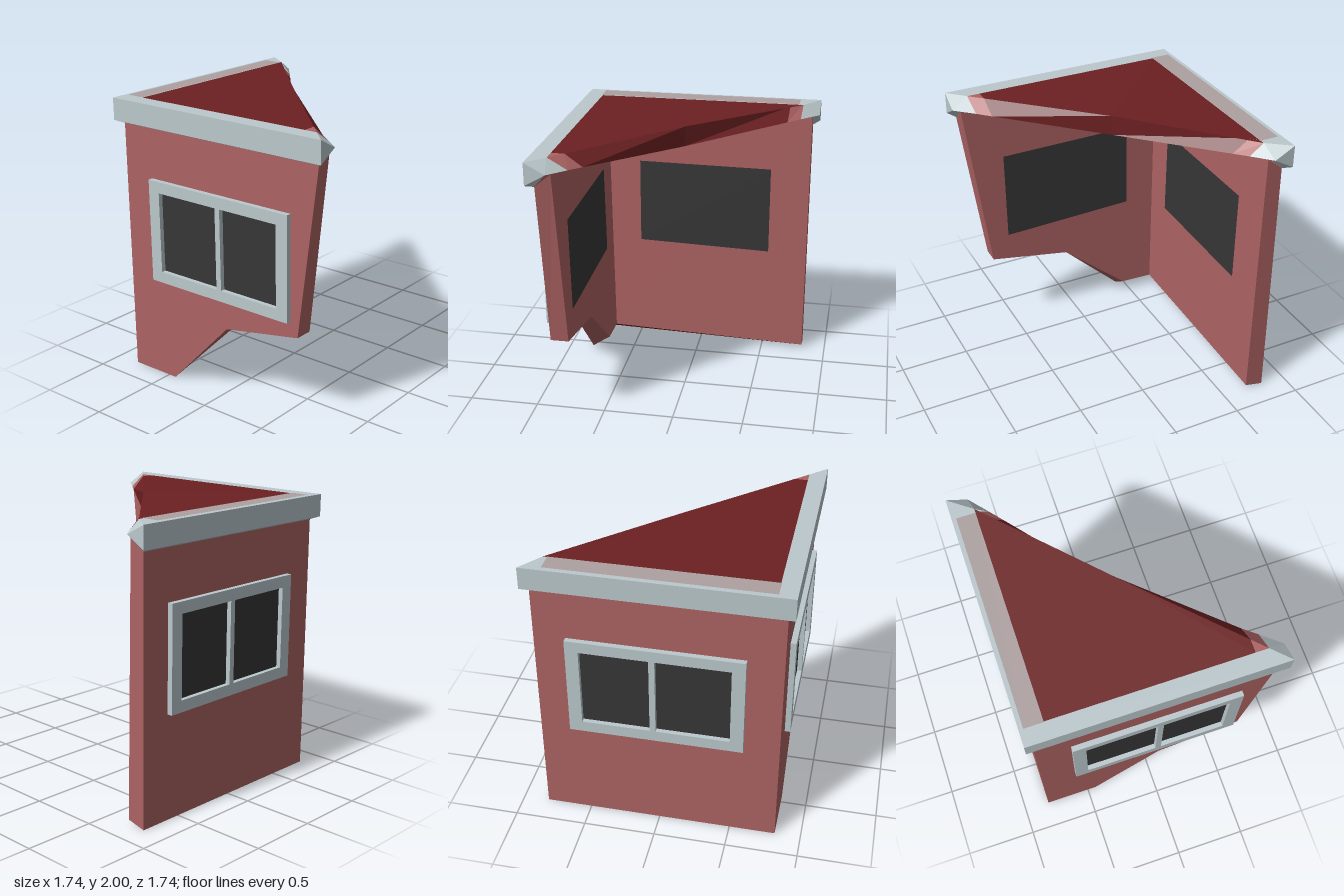
import * as THREE from 'three';

const material = (name, color) => {
  const m = new THREE.MeshStandardMaterial({ color, side: THREE.DoubleSide });
  m.name = name;
  return m;
};

// flat-shaded mesh made of small polygons, each corner list counter-clockwise from outside
function faces(name, mat, polygons) {
  const pos = [];
  for (const p of polygons) {
    for (let i = 1; i < p.length - 1; i++) pos.push(...p[0], ...p[i], ...p[i + 1]);
  }
  const g = new THREE.BufferGeometry();
  g.setAttribute('position', new THREE.Float32BufferAttribute(pos, 3));
  g.computeVertexNormals();
  const mesh = new THREE.Mesh(g, mat);
  mesh.name = name;
  return mesh;
}

// triangles of a possibly concave outline; corners are [x, y, z] spread over x and y
function cap(points) {
  const flat = points.map(([x, y]) => new THREE.Vector2(x, y));
  return THREE.ShapeUtils.triangulateShape(flat, []).map((t) => t.map((i) => points[i]));
}

// reflection across the broken diagonal: front wall <-> side wall
const swap = ([x, y, z]) => [-z, y, -x];
const swapAll = (polys) => polys.map((p) => p.map(swap).reverse());
const flip = (polys) => polys.map((p) => [...p].reverse());

// distance of the slightly leaning inner wall faces from the centre
const inner = (y) => 0.685 + 0.013 * y;

export function createModel() {
  const model = new THREE.Group();
  model.name = 'brokenBuildingCorner';
  const wall = material('wall red', 0xac6262);
  const roof = material('dark red', 0x6c2022);
  const trim = material('pale grey', 0xbbc8cc);
  const faded = material('dusty grey', 0xada0a0);
  const glass = material('dark glass', 0x363636);

  // front wall, broken along its lower right
  const outline = [[-0.82, 0], [-0.44, 0], [0.06, 0.52], [0.66, 0.63], [0.82, 1.81], [-0.82, 1.81]];
  const inside = [[-0.69, 0.08], [-0.44, 0.09], [0.06, 0.52], [0.66, 0.63], [0.82, 1.9], [-0.71, 1.9]];
  const out = outline.map(([x, y]) => [x, y, 0.82]);
  const inn = inside.map(([x, y]) => [x, y, inner(y)]);
  inn[0][0] = -inner(0.08);
  inn[5][0] = -inner(1.9);
  const edges = [1, 2, 3].map((i) => [out[i], inn[i], inn[i + 1], out[i + 1]]);
  model.add(faces('frontWall', wall, [...cap(out), ...flip(cap(inn)), ...edges]));

  // side wall
  const backLow = [-inner(0.03), 0.03, -0.82];
  const backHigh = [-inner(1.9), 1.9, -0.82];
  const outLow = [-0.82, 0, -0.82];
  const outHigh = [-0.82, 1.81, -0.82];
  model.add(faces('sideWall', wall, [
    [outLow, out[0], out[5], outHigh],
    [inn[0], backLow, backHigh, inn[5]],
    [backLow, outLow, outHigh, backHigh],
  ]));

  // broken underside of the walls
  model.add(faces('wallUnderside', roof, [
    [out[0], inn[0], inn[1], out[1]],
    [out[0], outLow, backLow, inn[0]],
  ]));

  // roof trim: section as [distance from centre, height, where the broken end lies]
  const trimSection = (topInner) => [
    [0.87, 1.985, 0.87], [0.87, 1.83, 0.87], [0.82, 1.81, 0.82],
    [0.73, 1.91, 0.87], [0.62, 1.905, 0.74], [topInner, 1.986, 0.75],
  ];
  const trimFaces = (topInner, cornerInner) => {
    const s = trimSection(topInner);
    const end = s.map(([d, y, e]) => [e, y, d]);
    const start = s.map(([d, y], i) => [i === 5 ? -cornerInner : -d, y, d]);
    const sides = [0, 1, 2, 3, 5].map((i) => {
      const j = (i + 1) % 6;
      return [start[i], start[j], end[j], end[i]];
    });
    const m = end[3];
    return [...sides, [m, end[4], end[5]], [m, end[5], end[0]], [m, end[0], end[1]], [m, end[1], end[2]]];
  };
  model.add(faces('frontTrim', trim, trimFaces(0.75, 0.71)));
  model.add(faces('sideTrim', trim, swapAll(trimFaces(0.71, 0.75))));

  // faded strip lying on top of the side trim
  model.add(faces('fadedTrimStrip', faded, [
    [[-0.84, 1.989, 0.755], [-0.71, 1.989, 0.755], [-0.71, 1.989, -0.72], [-0.84, 1.989, -0.72]],
  ]));

  // roof top, broken edges and sagging underside
  const peak = [0, 2, 0];
  const sag = [0, 1.86, 0];
  const mix = (a, b, t) => a.map((v, i) => v + (b[i] - v) * t);
  const corner = [-0.71, 1.986, 0.75];
  const tip = [0.75, 1.986, 0.75];
  const tipLow = [0.74, 1.905, 0.62];
  const backTip = [-0.71, 1.986, -0.75];
  const T = 0.88;
  const cut = mix(peak, tip, T);
  const cutLow = mix(sag, tipLow, T);
  const cutFront = [cut[0], 1.986, 0.75];
  const edge = [[sag, peak, cut, cutLow]];
  const tipEdge = [[cutLow, cut, tip, tipLow]];
  const hollow = [[sag, tipLow, [-0.62, 1.905, 0.62]]];
  model.add(faces('roofTop', roof, [[peak, corner, cutFront, cut], [peak, backTip, corner]]));
  model.add(faces('roofBrokenEdge', roof, [...flip(edge), ...swapAll(flip(edge))]));
  model.add(faces('roofUnderside', roof, [...hollow, ...swapAll(hollow)]));
  model.add(faces('roofTips', wall, [
    [cut, cutFront, tip], ...flip(tipEdge), ...swapAll(flip(tipEdge)),
  ]));

  // outer windows: raised frame around two panes
  function addWindow(name) {
    const g = new THREE.Group();
    g.name = name;
    const box = (part, mat, x0, x1, y0, y1, depth) => {
      const m = new THREE.Mesh(new THREE.BoxGeometry(x1 - x0, y1 - y0, depth), mat);
      m.position.set((x0 + x1) / 2, (y0 + y1) / 2, 0.82 + depth / 2);
      m.name = part;
      g.add(m);
    };
    box('frameLeft', trim, -0.58, -0.49, 0.73, 1.46, 0.038);
    box('frameRight', trim, 0.515, 0.605, 0.73, 1.46, 0.038);
    box('frameTop', trim, -0.49, 0.515, 1.38, 1.46, 0.038);
    box('frameBottom', trim, -0.49, 0.515, 0.73, 0.81, 0.038);
    box('mullion', trim, 0.01, 0.05, 0.81, 1.38, 0.038);
    box('paneLeft', glass, -0.49, 0.01, 0.81, 1.38, 0.005);
    box('paneRight', glass, 0.05, 0.515, 0.81, 1.38, 0.005);
    model.add(g);
    return g;
  }
  addWindow('frontWindow');
  addWindow('sideWindow').rotation.y = -Math.PI / 2;
  model.getObjectByName('sideWindow').scale.x = -1;

  // dark panes on the inner wall faces
  const pane = [[[0.53, 0.815], [-0.47, 0.845], [-0.47, 1.49], [0.53, 1.48]]
    .map(([x, y]) => [x, y, inner(y) - 0.005])];
  model.add(faces('frontInnerPane', glass, pane));
  model.add(faces('sideInnerPane', glass, swapAll(pane)));

  return model;
}
